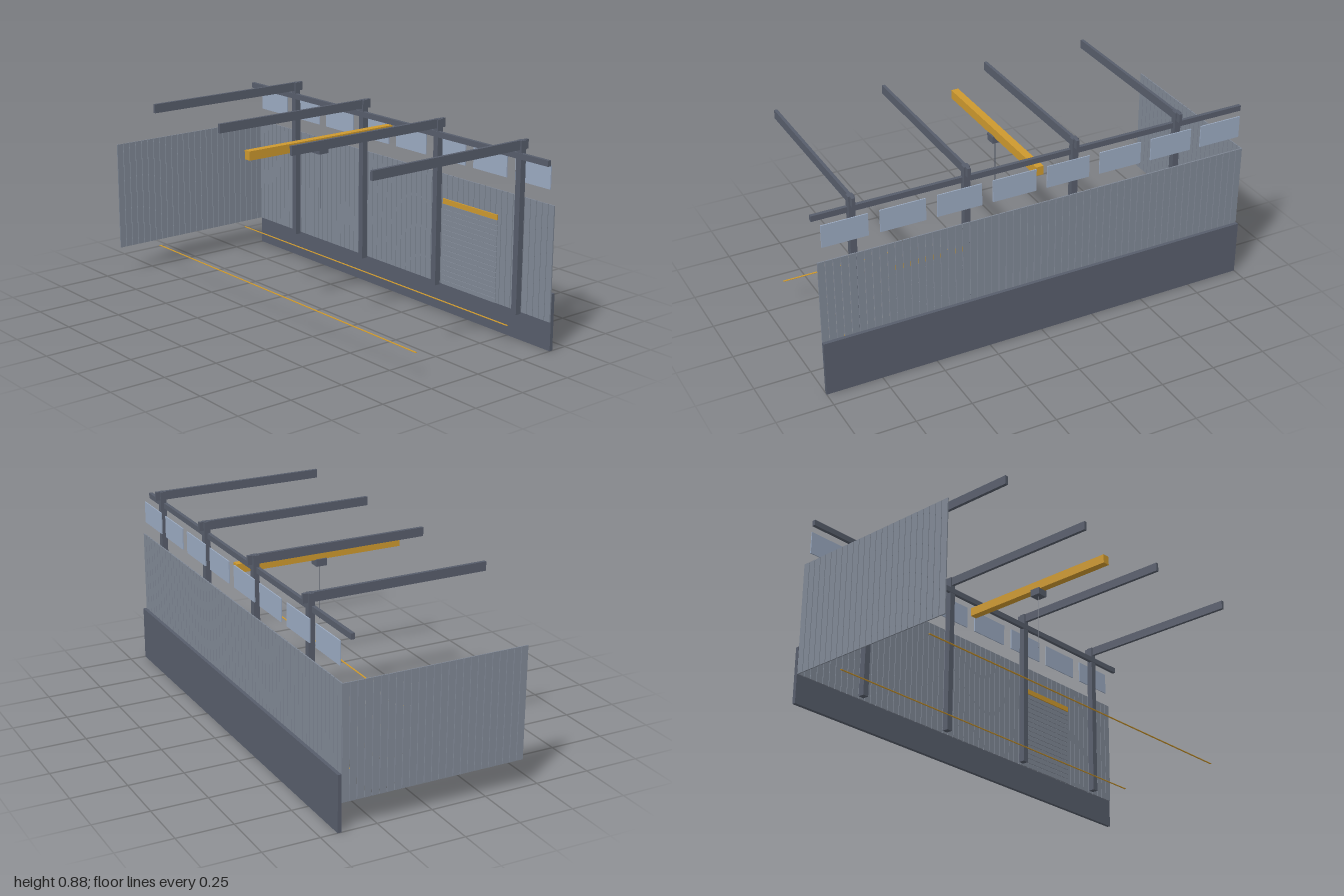
import * as THREE from 'three';

const flat = (name, color) => {
  const m = new THREE.MeshStandardMaterial({ color });
  m.name = name;
  return m;
};

export function createModel() {
  const model = new THREE.Group();
  model.name = 'workshopBay';
  const steel = flat('dark steel', 0x575d6b);
  const cladding = flat('grey cladding', 0x7f8794);
  const glass = flat('pale blue glass', 0x9aa9c0);
  const yellow = flat('safety yellow', 0xcc982e);

  // Box given by its extents along each axis
  const box = (name, mat, [x0, x1], [y0, y1], [z0, z1], parent = model) => {
    const mesh = new THREE.Mesh(new THREE.BoxGeometry(x1 - x0, y1 - y0, z1 - z0), mat);
    mesh.position.set((x0 + x1) / 2, (y0 + y1) / 2, (z0 + z1) / 2);
    mesh.name = name;
    parent.add(mesh);
    return mesh;
  };
  const group = (name) => {
    const g = new THREE.Group();
    g.name = name;
    model.add(g);
    return g;
  };
  const around = (c, size) => [c - size / 2, c + size / 2];

  const floorY = 0.127, wallTop = 0.627, pitch = 1 / 30, panelWidth = 0.0303;

  // Base wall behind the cladding
  box('plinth', steel, [-1, 1], [0, 0.25], [-0.425, -0.409]);

  // Rear wall of upright panels with narrow gaps
  const rear = group('rearWall');
  for (let i = 0; i < 60; i++) {
    box('rearPanel', cladding, around(-1 + (i + 0.5) * pitch, panelWidth),
      [floorY, wallTop], [-0.409, -0.403], rear);
  }

  // Side wall on the model's right
  const side = group('sideWall');
  for (let i = 0; i < 25; i++) {
    box('sidePanel', cladding, [-1, -0.995], [floorY, wallTop],
      around(0.425 - (i + 0.5) * pitch, panelWidth), side);
  }

  // Clerestory windows
  const windows = group('windows');
  for (let i = 0; i < 8; i++) {
    box('window', glass, around(-0.875 + i * 0.25, 0.2), [0.69, 0.79], [-0.406, -0.401], windows);
  }

  // Columns with cantilevered roof beams
  const frame = group('frame');
  for (let i = 0; i < 4; i++) {
    const x = -0.667 + i * 0.5;
    box('column', steel, around(x, 0.028), [floorY, 0.874], [-0.387, -0.359], frame);
    box('roofBeam', steel, around(x, 0.014), [0.835, 0.875], [-0.407, 0.425], frame);
  }
  box('longRail', steel, [-1, 1], [0.797, 0.822], [-0.373, -0.357], frame);

  // Crane beam with trolley and cable
  const crane = group('crane');
  box('craneBeam', yellow, around(0, 0.034), [0.747, 0.787], [-0.387, 0.4], crane);
  box('trolley', steel, around(0, 0.05), [0.718, 0.75], around(0.01, 0.05), crane);
  const cable = new THREE.Mesh(new THREE.CylinderGeometry(0.0017, 0.0017, 0.25, 6), steel);
  cable.name = 'cable';
  cable.position.set(0, 0.593, 0.01);
  crane.add(cable);

  // Roller door made of thin slats, with a yellow lintel
  const door = group('rollerDoor');
  const slats = 16, slatPitch = (0.497 - floorY) / slats;
  for (let i = 0; i < slats; i++) {
    const y = floorY + i * slatPitch;
    box('slat', cladding, [0.345, 0.68], [y, y + slatPitch - 0.004], [-0.404, -0.4], door);
  }
  box('lintel', yellow, [0.345, 0.68], [0.495, 0.518], [-0.406, -0.397], door);

  // Floor marking lines
  for (const z of [-0.242, 0.257]) {
    box('floorLine', yellow, [-0.915, 0.915], [floorY - 0.001, floorY + 0.001], around(z, 0.008));
  }

  return model;
}
